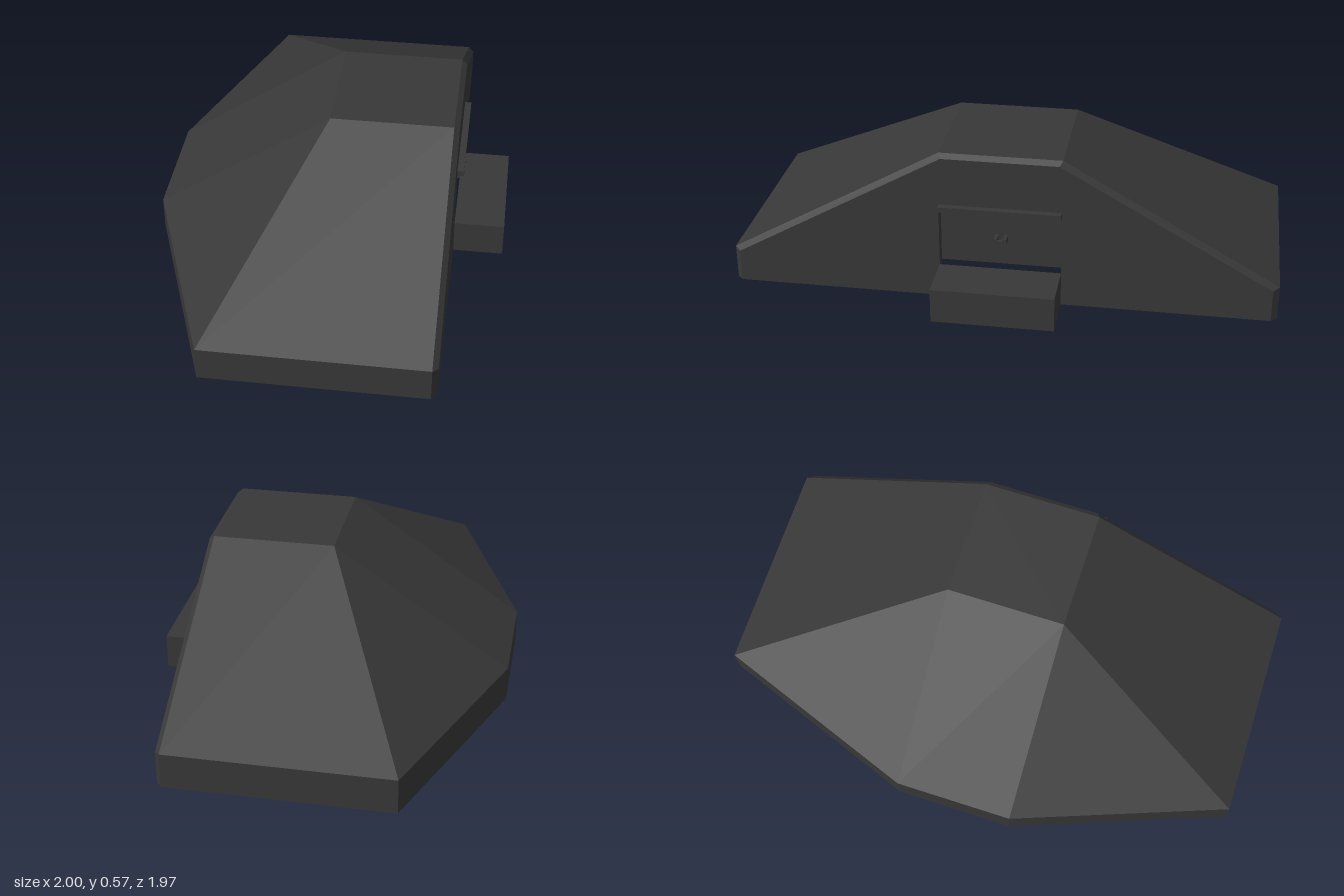
import * as THREE from 'three';

const charcoal = new THREE.MeshStandardMaterial({ color: 0x383838, side: THREE.DoubleSide });
charcoal.name = 'charcoal';

// Flat-shaded sheet made of convex polygons, corners counter-clockwise from outside
function sheet(name, polygons) {
  const pos = [];
  for (const p of polygons) {
    for (let i = 1; i < p.length - 1; i++) pos.push(...p[0], ...p[i], ...p[i + 1]);
  }
  const geo = new THREE.BufferGeometry();
  geo.setAttribute('position', new THREE.Float32BufferAttribute(pos, 3));
  geo.computeVertexNormals();
  const mesh = new THREE.Mesh(geo, charcoal);
  mesh.name = name;
  return mesh;
}

function box(name, w, h, d, x, y, z) {
  const mesh = new THREE.Mesh(new THREE.BoxGeometry(w, h, d), charcoal);
  mesh.name = name;
  mesh.position.set(x, y, z);
  return mesh;
}

export function createModel() {
  const model = new THREE.Group();
  model.name = 'bunker';
  const body = new THREE.Group();
  body.name = 'bunkerBody';
  body.rotation.y = 0.768;
  model.add(body);

  const eave = 0.13, top = 0.57, ridge = 0.222, front = 0.4, face = 0.42;
  const doorTop = 0.36, doorZ = 0.38;

  // Low outer walls: left front, right front, right back, then the two rear corners
  const plan = [[1, front], [1, -0.405], [ridge, -0.694], [-ridge, -0.694], [-1, -0.405], [-1, front]];
  const low = plan.map(([x, z]) => [x, 0, z]);
  const high = plan.map(([x, z]) => [x, eave, z]);
  const walls = [];
  for (let i = 0; i < 5; i++) walls.push([low[i], low[i + 1], high[i + 1], high[i]]);
  body.add(sheet('outerWalls', walls));

  // Sloping roof around a flat crown
  const crown = [[ridge, top, front], [ridge, top, -0.046], [-ridge, top, -0.046], [-ridge, top, front]];
  body.add(sheet('roof', [
    crown,
    [high[0], high[1], crown[1], crown[0]],
    [high[1], high[2], crown[1]],
    [high[2], high[3], crown[2], crown[1]],
    [high[3], high[4], crown[2]],
    [high[4], high[5], crown[3], crown[2]],
  ]));

  // Bevelled rim between the roof edge and the front wall
  const rim = [[1, 0], [1, eave], [ridge, top], [-ridge, top], [-1, eave], [-1, 0]];
  const inner = [[0.977, 0], [0.977, 0.122], [0.212, 0.555], [-0.212, 0.555], [-0.977, 0.122], [-0.977, 0]];
  const bevel = [];
  for (let i = 0; i < 5; i++) {
    bevel.push([[...inner[i], face], [...rim[i], front], [...rim[i + 1], front], [...inner[i + 1], face]]);
  }
  body.add(sheet('frontBevel', bevel));

  // Front wall with a doorway open to the ground
  const outline = new THREE.Shape(inner.map(([x, y]) => new THREE.Vector2(x, y)).concat([
    new THREE.Vector2(-ridge, 0), new THREE.Vector2(-ridge, doorTop),
    new THREE.Vector2(ridge, doorTop), new THREE.Vector2(ridge, 0),
  ]));
  const frontWall = new THREE.Mesh(new THREE.ShapeGeometry(outline), charcoal);
  frontWall.name = 'frontWall';
  frontWall.position.z = face;
  body.add(frontWall);

  // Door reveal
  const r = ridge;
  body.add(sheet('doorReveal', [
    [[-r, 0, face], [-r, 0, doorZ], [-r, doorTop, doorZ], [-r, doorTop, face]],
    [[r, 0, doorZ], [r, 0, face], [r, doorTop, face], [r, doorTop, doorZ]],
    [[-r, doorTop, face], [-r, doorTop, doorZ], [r, doorTop, doorZ], [r, doorTop, face]],
  ]));

  // Recessed door, its handle and the lintel above
  body.add(box('door', 2 * r, doorTop - eave, 0.01, 0, (doorTop + eave) / 2, doorZ - 0.005));
  for (const s of [-1, 1]) body.add(box('handlePost', 0.012, 0.024, 0.04, s * 0.017, 0.238, doorZ + 0.02));
  body.add(box('handleBar', 0.024, 0.008, 0.01, 0, 0.238, face - 0.006));
  body.add(box('lintel', 2 * r, 0.02, 0.024, 0, 0.365, face + 0.012));

  // Entrance step, hollow underneath and open towards the doorway
  const out = 0.605;
  body.add(sheet('entranceStep', [
    [[-r, eave, out], [r, eave, out], [r, eave, face], [-r, eave, face]],
    [[-r, 0, out], [r, 0, out], [r, eave, out], [-r, eave, out]],
    [[r, 0, out], [r, 0, face], [r, eave, face], [r, eave, out]],
    [[-r, 0, face], [-r, 0, out], [-r, eave, out], [-r, eave, face]],
  ]));

  return model;
}
